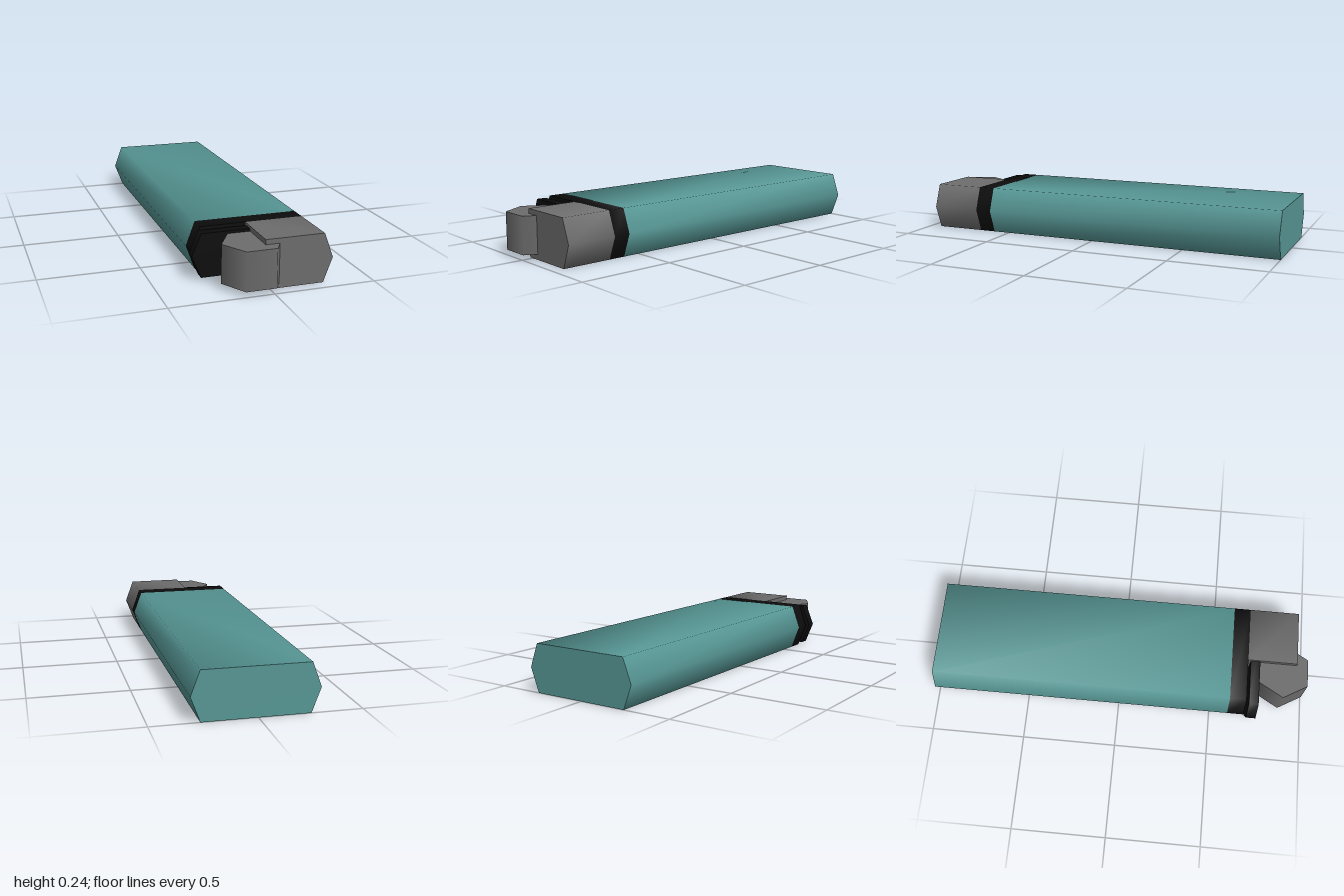
import * as THREE from 'three';
import { toCreasedNormals } from 'three/addons/utils/BufferGeometryUtils.js';

const HEIGHT = 0.242;
const BEVEL = 0.045;

export function createModel() {
  const group = new THREE.Group();
  const teal = new THREE.MeshStandardMaterial({ name: 'tealPlastic', color: 0x569694 });
  const black = new THREE.MeshStandardMaterial({ name: 'blackPlastic', color: 0x0d0d0d });
  const grey = new THREE.MeshStandardMaterial({ name: 'greyMetal', color: 0x6c6c6c });

  const add = (name, geometry, material) => {
    const mesh = new THREE.Mesh(geometry, material);
    mesh.name = name;
    group.add(mesh);
    return mesh;
  };

  // Prism along z with pointed sides; the left end of the section may be cut square.
  const prism = (x0, x1, y0, y1, z0, z1, square = false) => {
    const mid = (y0 + y1) / 2;
    const points = [[x1 - BEVEL, y0], [x1, mid], [x1 - BEVEL, y1]];
    if (square) points.push([x0, y1], [x0, y0]);
    else points.push([x0 + BEVEL, y1], [x0, mid], [x0 + BEVEL, y0]);
    const shape = new THREE.Shape(points.map(([x, y]) => new THREE.Vector2(x, y)));
    const geometry = new THREE.ExtrudeGeometry(shape, { depth: z1 - z0, bevelEnabled: false });
    geometry.translate(0, 0, z0);
    // Soft shading around the sides, sharp end faces.
    return toCreasedNormals(geometry, THREE.MathUtils.degToRad(80));
  };

  // Fuel body and the collar around its open end
  add('body', prism(-0.295, 0.311, 0, HEIGHT, -1, 0.59), teal);
  add('collar', prism(-0.295, 0.311, 0, HEIGHT, 0.59, 0.677), black);

  // Thumb lever, running in under the hood
  add('thumbLever', prism(-0.311, 0.2, 0.012, 0.23, 0.692, 0.743), black);

  // Flame hood covering one half
  add('hood', prism(-0.025, 0.311, 0, HEIGHT, 0.677, 0.94, true), grey);

  // Six-sided spark wheel
  const wheel = new THREE.CylinderGeometry(0.148, 0.148, 0.191, 6);
  wheel.rotateY(Math.PI / 6);
  add('sparkWheel', wheel, grey).position.set(-0.064, 0.122, 0.872);

  return group;
}
